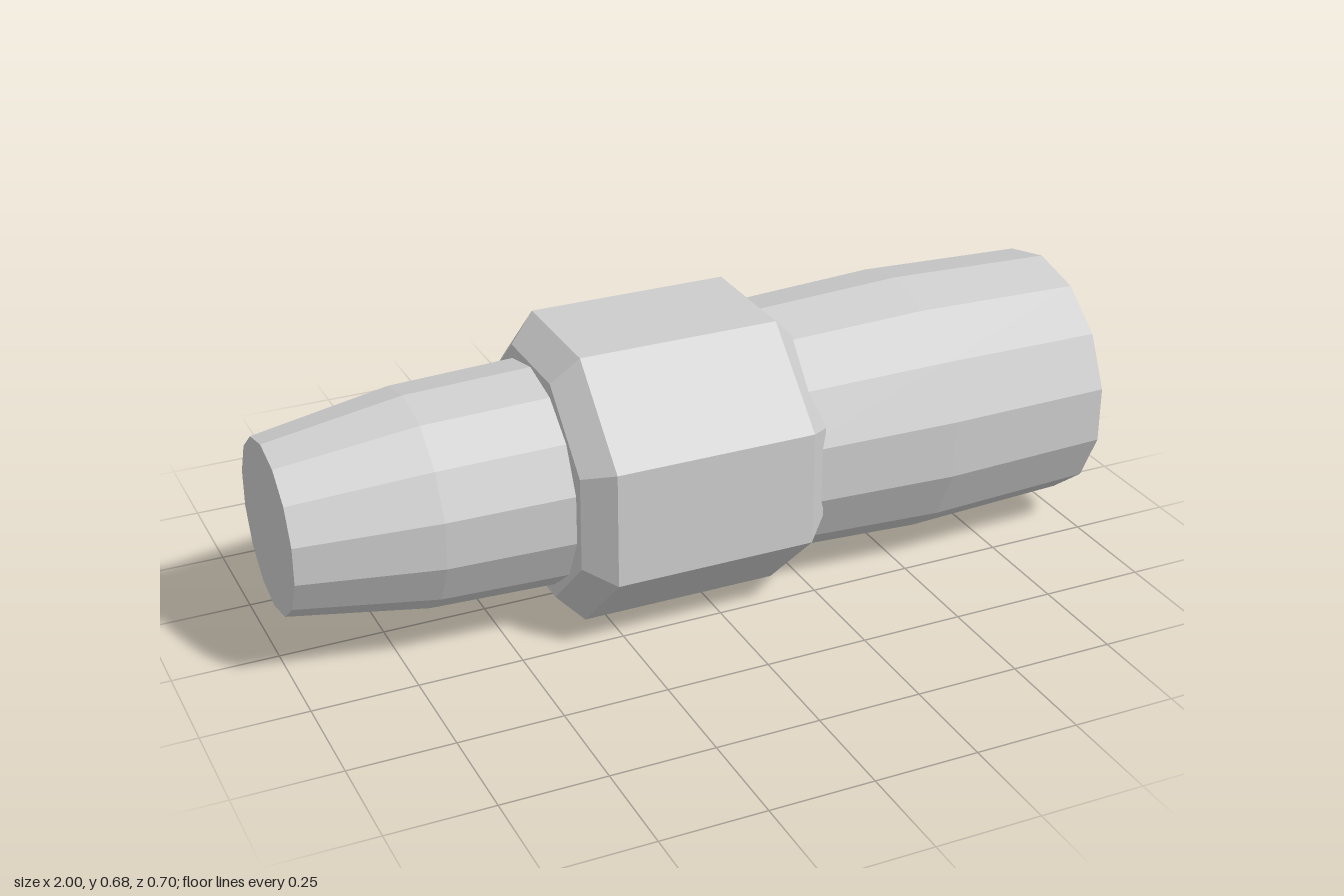
import * as THREE from 'three';

const AXIS_Y = 0.338;

export function createModel() {
  const group = new THREE.Group();
  const grey = new THREE.MeshStandardMaterial({ color: 0xcccccc, flatShading: true });
  grey.name = 'lightGrey';

  // Turned solid along x, from [x, radius] pairs, closed by flat ends
  function turned(name, profile, sides, phase) {
    const first = profile[0], last = profile[profile.length - 1];
    const points = [[first[0], 0], ...profile, [last[0], 0]]
      .map(([x, r]) => new THREE.Vector2(r, x));
    const geometry = new THREE.LatheGeometry(points, sides, phase).toNonIndexed();
    geometry.rotateZ(-Math.PI / 2);
    geometry.computeVertexNormals();
    const mesh = new THREE.Mesh(geometry, grey);
    mesh.name = name;
    mesh.position.y = AXIS_Y;
    group.add(mesh);
    return mesh;
  }

  // Tapered narrow end
  turned('narrowSleeve', [[-1, 0.205], [-0.67, 0.258], [-0.3, 0.27]], 14, Math.PI / 2);

  // Slightly bulging wide end
  turned('wideSleeve', [[0.15, 0.303], [0.58, 0.322], [1, 0.307]], 14, Math.PI / 2);

  // Octagonal collar with chamfered ends, a little wider than tall
  const full = 1 / Math.cos(Math.PI / 8);
  const inner = full * 0.815;
  const collar = turned('octagonalCollar',
    [[-0.365, inner], [-0.302, full], [0.185, full], [0.248, inner]], 8, Math.PI / 8);
  collar.geometry.scale(1, 0.338, 0.35);
  collar.geometry.computeVertexNormals();

  return group;
}
